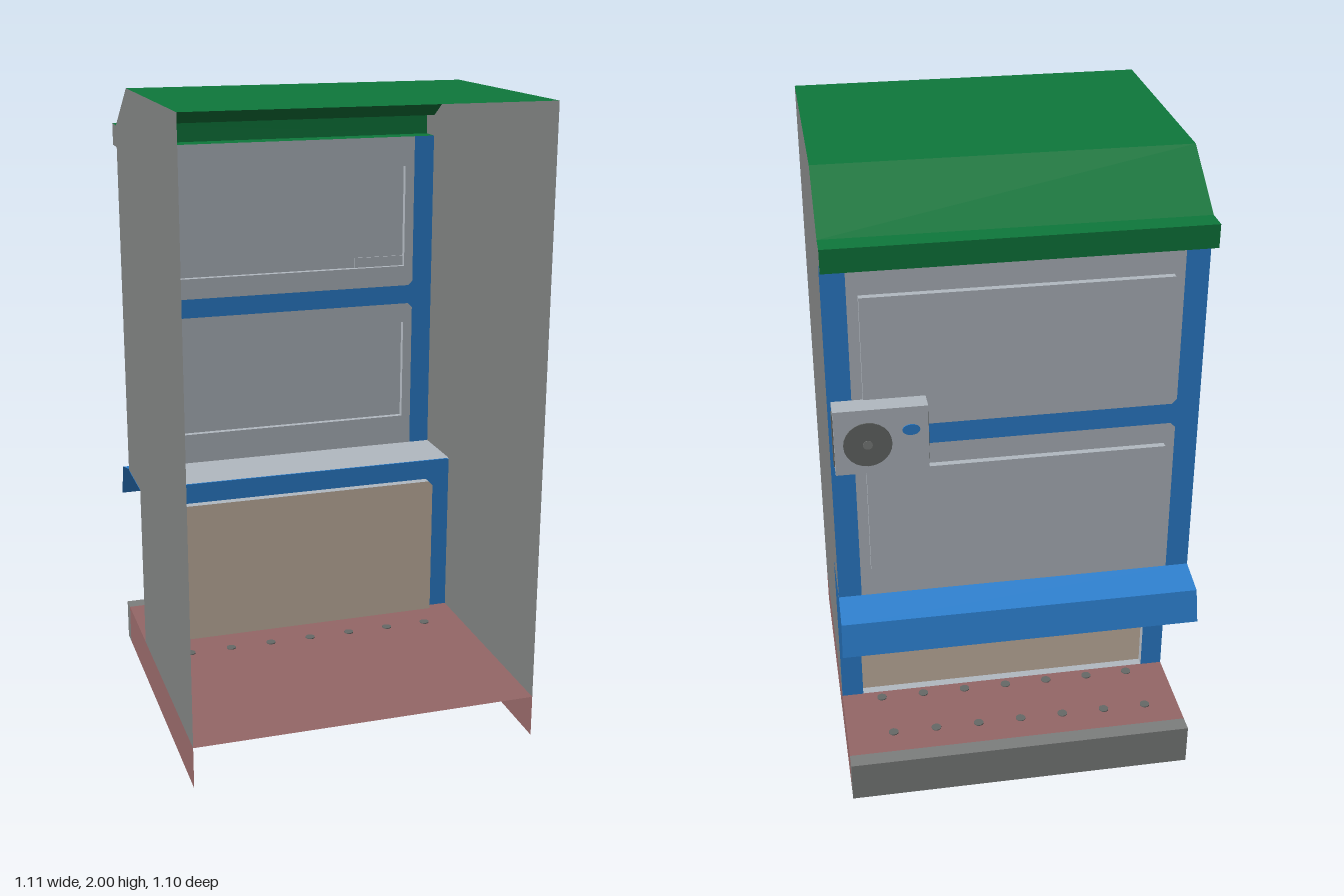
import * as THREE from 'three';

const mat = (name, color) => {
  const m = new THREE.MeshStandardMaterial({ color, side: THREE.DoubleSide });
  m.name = name;
  return m;
};

// Path with straight sides through [x, y] points
const outline = (pts, Type = THREE.Shape) => new Type(pts.map(([x, y]) => new THREE.Vector2(x, y)));

// Rectangle with its corners cut by small bevels (bottom, top)
const rect = (x, y0, y1, bottom = 0, top = 0) => {
  const pts = [];
  const corner = (sx, y, sy, c, flip) => {
    const pair = c ? [[sx * (x - c), y], [sx * x, y - sy * c]] : [[sx * x, y]];
    pts.push(...(flip ? pair.reverse() : pair));
  };
  corner(-1, y0, -1, bottom, true);
  corner(1, y0, -1, bottom, false);
  corner(1, y1, 1, top, true);
  corner(-1, y1, 1, top, false);
  return pts;
};

// Sheet spanning the width along a [z, y, halfWidth] profile
const sheet = (profile) => {
  const pos = [];
  for (let i = 0; i < profile.length - 1; i++) {
    const [z0, y0, w0 = 0.55] = profile[i];
    const [z1, y1, w1 = 0.55] = profile[i + 1];
    const a = [-w0, y0, z0], b = [w0, y0, z0], c = [w1, y1, z1], d = [-w1, y1, z1];
    pos.push(...a, ...b, ...c, ...a, ...c, ...d);
  }
  const g = new THREE.BufferGeometry();
  g.setAttribute('position', new THREE.Float32BufferAttribute(pos, 3));
  g.computeVertexNormals();
  return g;
};

// Walls around a closed [x, y] outline between two depths
const walls = (pts, z0, z1) => {
  const pos = [];
  pts.forEach(([x0, y0], i) => {
    const [x1, y1] = pts[(i + 1) % pts.length];
    pos.push(x0, y0, z0, x1, y1, z0, x1, y1, z1, x0, y0, z0, x1, y1, z1, x0, y0, z1);
  });
  const g = new THREE.BufferGeometry();
  g.setAttribute('position', new THREE.Float32BufferAttribute(pos, 3));
  g.computeVertexNormals();
  return g;
};

export function createModel() {
  const grey = mat('casing grey', 0x7d7f7e);
  const silver = mat('silver', 0xb2b9c1);
  const blue = mat('frame blue', 0x2c80d0);
  const green = mat('roof green', 0x0e783c);
  const tan = mat('panel tan', 0xcab8a6);
  const brown = mat('base brown', 0x946767);
  const dark = mat('dark grey', 0x666967);

  const root = new THREE.Group();
  root.name = 'cabinet';
  const add = (name, geo, m, x = 0, y = 0, z = 0, parent = root) => {
    const mesh = new THREE.Mesh(geo, m);
    mesh.name = name;
    mesh.position.set(x, y, z);
    parent.add(mesh);
    return mesh;
  };
  const flat = (name, pts, holes, m, z) => {
    const s = outline(pts);
    holes.forEach((h) => s.holes.push(outline(h, THREE.Path)));
    return add(name, new THREE.ShapeGeometry(s), m, 0, 0, z);
  };

  // Side casing, with skirts below the floor
  const side = [[0.55, 0.135], [0.55, 2], [-0.2, 2], [-0.41, 1.865], [-0.48, 1.865],
    [-0.48, 1.795], [-0.41, 1.795], [-0.41, 0.69], [-0.2, 0.69], [-0.2, 0.135]];
  for (const s of [-1, 1]) {
    const turn = (name, pts, m) => {
      const mesh = add(name, new THREE.ShapeGeometry(outline(pts)), m, s * 0.55);
      mesh.rotation.y = -Math.PI / 2;
    };
    turn('sidePanel', side, grey);
    turn('baseSkirt', [[0.55, 0], [0.55, 0.135], [-0.5, 0.135], [-0.5, 0]], brown);
    turn('rimEnd', [[-0.5, 0], [-0.5, 0.135], [-0.55, 0.135], [-0.55, 0]], grey);
  }

  // Roof with sloped edge and lip
  add('roof', sheet([[0.55, 2], [-0.2, 2], [-0.41, 1.865], [-0.48, 1.865],
    [-0.48, 1.795], [-0.41, 1.795]]), green);

  // Base floor and rim
  add('floor', sheet([[0.55, 0.135], [-0.5, 0.135]]), brown);
  add('rim', sheet([[-0.5, 0.135], [-0.55, 0.135], [-0.55, 0]]), grey);

  // Drain holes in the floor
  const disc = new THREE.CylinderGeometry(0.016, 0.016, 0.006, 12);
  [-0.07, -0.23, -0.41].forEach((z, row) => {
    for (let i = 0; i < 7; i++) {
      add('drainHole', disc, dark, -0.42 + i * 0.14 + (row === 2 ? -0.02 : 0), 0.135, z);
    }
  });

  // Upper frame and its two embossed doors
  const doors = [
    { hole: rect(0.48, 0.69, 1.21, 0, 0.015), plate: rect(0.448, 0.795, 1.143) },
    { hole: rect(0.48, 1.275, 1.795, 0.015, 0), plate: rect(0.448, 1.345, 1.695) },
  ];
  for (const s of [-1, 1]) {
    add('framePost', new THREE.PlaneGeometry(0.07, 1.105), blue, s * 0.515, 1.2425, -0.41);
  }
  flat('frameBar', [[-0.48, 1.195], [-0.465, 1.21], [0.465, 1.21], [0.48, 1.195], [0.48, 1.29],
    [0.465, 1.275], [-0.465, 1.275], [-0.48, 1.29]], [], blue, -0.41);
  for (const { hole, plate } of doors) {
    flat('door', hole, [plate], silver, -0.41);
    flat('doorPlate', plate, [], silver, -0.43);
    add('doorPlateEdge', walls(plate, -0.41, -0.43), silver);
  }

  // Ledge between upper and lower fronts
  add('ledgeTop', sheet([[-0.2, 0.692], [-0.41, 0.692]]), silver);
  add('ledgeUnderside', sheet([[-0.2, 0.687], [-0.41, 0.687]]), blue);

  // Canopy over the lower opening
  add('canopy', sheet([[-0.41, 0.692], [-0.518, 0.665, 0.552], [-0.54, 0.56, 0.555]]), blue);

  // Lower frame with recessed panel
  const low = rect(0.48, 0.136, 0.622, 0, 0.015);
  flat('lowerFrame', [[-0.55, 0.135], [-0.48, 0.135], [-0.48, 0.607], [-0.465, 0.622],
    [0.465, 0.622], [0.48, 0.607], [0.48, 0.135], [0.55, 0.135], [0.55, 0.69], [-0.55, 0.69]],
  [], blue, -0.2);
  flat('lowerPanel', low, [], tan, -0.172);
  add('lowerPanelEdge', walls(low, -0.2, -0.172), silver);

  // Lock box with dial, button and side slots
  const lock = new THREE.Group();
  lock.name = 'lockBox';
  lock.position.set(0.405, 1.277, -0.458);
  root.add(lock);
  add('lockBody', new THREE.BoxGeometry(0.27, 0.205, 0.065), silver, 0, 0, 0, lock);
  for (const s of [-1, 1]) {
    add('lockSlot', new THREE.BoxGeometry(0.004, 0.165, 0.03), dark, s * 0.136, 0, 0, lock);
  }
  const round = (name, r, m, x, y, z, sx = 1) => {
    const mesh = add(name, new THREE.CylinderGeometry(r, r, 0.004, 24), m, x, y, z, lock);
    mesh.rotation.x = Math.PI / 2;
    mesh.scale.x = sx;
  };
  round('dial', 0.07, dark, 0.04, -0.008, -0.0335);
  round('dialCentre', 0.014, grey, 0.04, -0.008, -0.0355);
  round('button', 0.017, blue, -0.085, 0.03, -0.0335, 1.5);

  return root;
}
